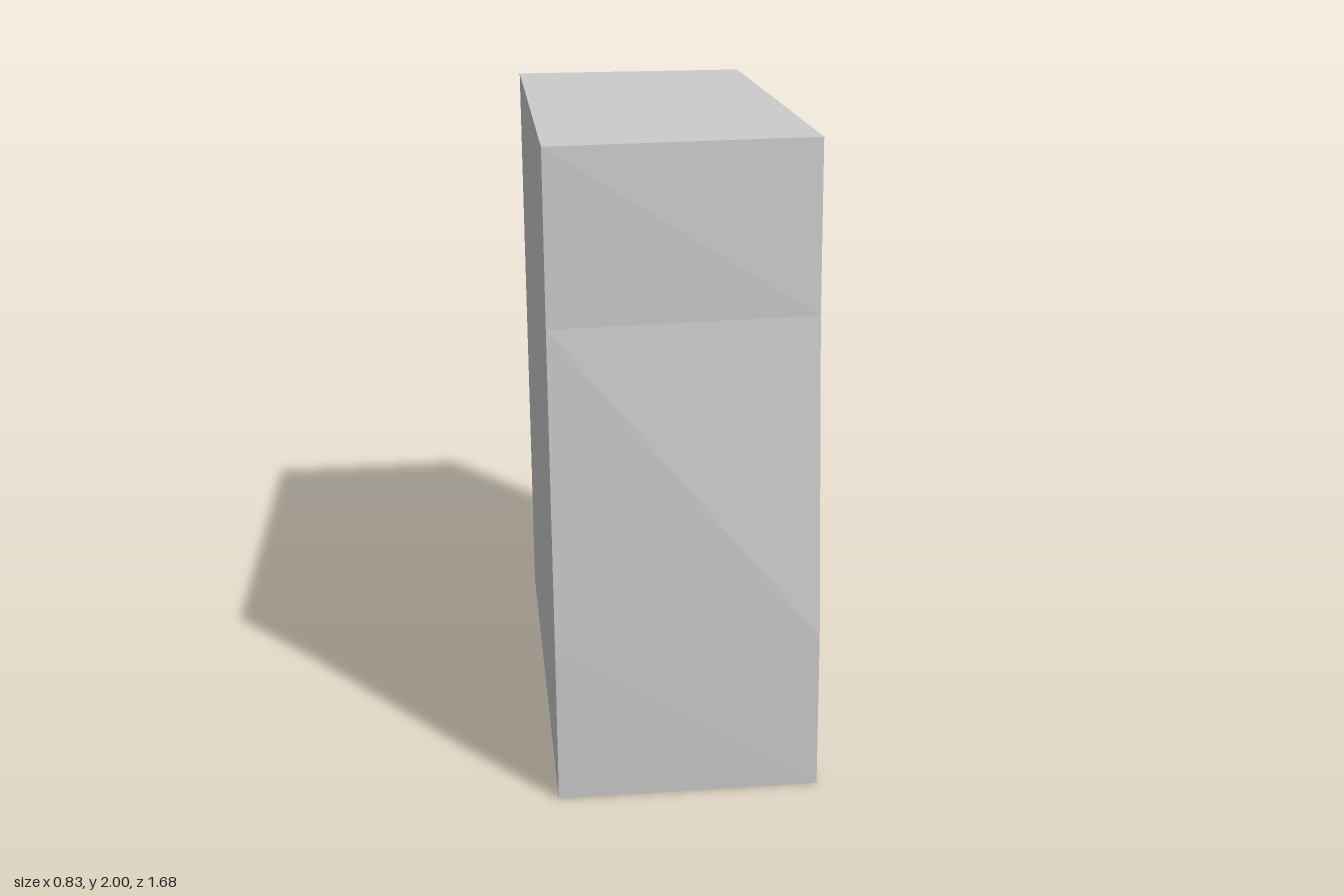
import * as THREE from 'three';

const FRONT = 0.39, BACK = -0.42;
const material = () => new THREE.MeshStandardMaterial({ color: 0xcccccc, flatShading: true });

// Leaning side walls: heights, then z at the open side and at the closed side
const LEVELS = [0, 0.5, 1.48, 2];
const WALLS = {
  1: { open: [0.84, 0.81, 0.675, 0.64], closed: [0.83, 0.81, 0.725, 0.705] },
  '-1': { open: [-0.7, -0.715, -0.803, -0.845], closed: [-0.74, -0.75, -0.81, -0.83] },
};
function wallZ(side, x, y) {
  let i = 0;
  while (i < 2 && y > LEVELS[i + 1]) i++;
  const t = (y - LEVELS[i]) / (LEVELS[i + 1] - LEVELS[i]);
  const at = (row) => THREE.MathUtils.lerp(row[i], row[i + 1], t);
  const w = WALLS[side];
  return THREE.MathUtils.lerp(at(w.closed), at(w.open), (x - BACK) / (FRONT - BACK));
}

// Rings run counter-clockwise as seen from +x
const bodyRing = (x) => [
  ...LEVELS.map((y) => [x, y, wallZ(-1, x, y)]),
  ...[...LEVELS].reverse().map((y) => [x, y, wallZ(1, x, y)]),
];
const bayRing = (x, y0, y1, inset) =>
  [[1, y0], [-1, y0], [-1, y1], [1, y1]].map(([s, y]) => [x, y, wallZ(s, x, y) - s * inset]);

function addCap(out, ring, holes = [], flip = false) {
  const flat = (r) => r.map(([, y, z]) => new THREE.Vector2(-z, y));
  const all = [ring, ...holes].flat();
  for (const [a, b, c] of THREE.ShapeUtils.triangulateShape(flat(ring), holes.map(flat))) {
    const [p, q, r] = [all[a], all[b], all[c]];
    const area = (q[1] - p[1]) * (r[2] - p[2]) - (q[2] - p[2]) * (r[1] - p[1]);
    out.push(...((area > 0) !== flip ? [p, q, r] : [p, r, q]));
  }
}
function addSides(out, rings) {
  for (let k = 0; k + 1 < rings.length; k++) {
    const a = rings[k], b = rings[k + 1];
    a.forEach((p, i) => {
      const j = (i + 1) % a.length;
      out.push(p, a[j], b[j], p, b[j], b[i]);
    });
  }
}
function meshFrom(points, name) {
  const g = new THREE.BufferGeometry();
  g.setAttribute('position', new THREE.Float32BufferAttribute(points.flat(), 3));
  g.computeVertexNormals();
  const m = new THREE.Mesh(g, material());
  m.name = name;
  return m;
}

// Box given by x range, height range and z range, turned about its centre
function block(parent, name, [x0, x1], [y0, y1], [z0, z1], lean = 0, turn = 0, tilt = 0) {
  const m = new THREE.Mesh(new THREE.BoxGeometry(x1 - x0, y1 - y0, z1 - z0), material());
  m.position.set((x0 + x1) / 2, (y0 + y1) / 2, (z0 + z1) / 2);
  m.rotation.set(lean, turn, tilt);
  m.name = name;
  parent.add(m);
  return m;
}
function book(parent, z, y, thick, height, lean, x = [-0.04, 0.17]) {
  block(parent, 'book', x, [y - height / 2, y + height / 2], [z - thick / 2, z + thick / 2], lean);
}

export function createModel() {
  const root = new THREE.Group();
  root.name = 'leaningCabinet';

  // Carcass with three openings in its front frame
  const bays = [[0.04, 0.465], [0.535, 1.45], [1.515, 1.97]];
  const openings = bays.map(([a, b]) => bayRing(FRONT, a, b, 0.036));
  const shell = [];
  addSides(shell, [bodyRing(BACK), bodyRing(FRONT)]);
  addCap(shell, bodyRing(BACK), [], true);
  addCap(shell, bodyRing(FRONT), openings);
  root.add(meshFrom(shell, 'carcass'));

  // Two open shelf bays
  ['middleBay', 'upperBay'].forEach((name, i) => {
    const inner = bayRing(-0.385, ...bays[i + 1], 0.036), pts = [];
    addSides(pts, [openings[i + 1], inner]);
    addCap(pts, inner);
    root.add(meshFrom(pts, name));
  });

  // Drawer: recess with a bevelled raised front
  const drawer = [], panel = bayRing(0.385, 0.095, 0.41, 0.23);
  addSides(drawer, [openings[0], bayRing(0.31, ...bays[0], 0.036), panel]);
  addCap(drawer, panel);
  root.add(meshFrom(drawer, 'drawerFront'));
  block(root, 'drawerHandle', [0.37, 0.413], [0.25, 0.3], [0.007, 0.13]);

  // Upper shelf: boxes and leaning books
  const upper = new THREE.Group();
  upper.name = 'upperShelfItems';
  root.add(upper);
  block(upper, 'largeBox', [0, 0.22], [1.515, 1.747], [-0.65, -0.34]);
  block(upper, 'lowBox', [-0.04, 0.17], [1.515, 1.615], [0.27, 0.575]);
  book(upper, 0.253, 1.65, 0.052, 0.302, 0.68);
  book(upper, 0.095, 1.658, 0.065, 0.285, -0.03);
  book(upper, 0.017, 1.615, 0.068, 0.2, 0);
  book(upper, -0.085, 1.667, 0.06, 0.313, 0.43);
  book(upper, -0.275, 1.622, 0.06, 0.215, -0.41);

  // Middle shelf: box with a picture frame leaning on it
  const middle = new THREE.Group();
  middle.name = 'middleShelfItems';
  root.add(middle);
  block(middle, 'chest', [-0.06, 0.22], [0.535, 0.92], [0.28, 0.66]);
  block(middle, 'leaningFrame', [0.295, 0.33], [0.54, 0.82], [0.36, 0.58], 0, 0, 0.27);

  // Square pedestal, turned as a four-sided lathe
  const r = Math.SQRT2;
  const profile = [[0, 0.535], [0.105, 0.535], [0.105, 0.69], [0.07, 0.69], [0.04, 0.8], [0.05, 0.845],
    [0.05, 0.955], [0.105, 1.01], [0.105, 1.065], [0, 1.065]].map(([w, y]) => new THREE.Vector2(w * r, y));
  const pedestal = new THREE.Mesh(new THREE.LatheGeometry(profile, 4, Math.PI / 4), material());
  pedestal.position.set(-0.015, 0, 0.045);
  pedestal.name = 'pedestal';
  middle.add(pedestal);

  // Stack of thick books with one leaning against it
  block(middle, 'stackedBook', [-0.08, 0.14], [0.535, 0.6], [-0.605, -0.33]);
  block(middle, 'stackedBook', [-0.09, 0.11], [0.6, 0.7], [-0.59, -0.33], 0, 0.25);
  block(middle, 'stackedBook', [-0.06, 0.08], [0.7, 0.77], [-0.6, -0.32]);
  book(middle, -0.245, 0.655, 0.055, 0.24, -0.5, [-0.06, 0.115]);

  // Small trinkets near the front
  block(middle, 'trinket', [0.22, 0.31], [0.535, 0.56], [-0.275, -0.175], 0, 0.2);
  block(middle, 'trinket', [0.23, 0.3], [0.56, 0.588], [-0.27, -0.18], 0, -0.1);
  block(middle, 'trinket', [0.19, 0.28], [0.535, 0.562], [0.065, 0.15], 0, 0.15);
  block(middle, 'trinket', [0.2, 0.27], [0.553, 0.58], [0.0, 0.09], 0.4);
  return root;
}
